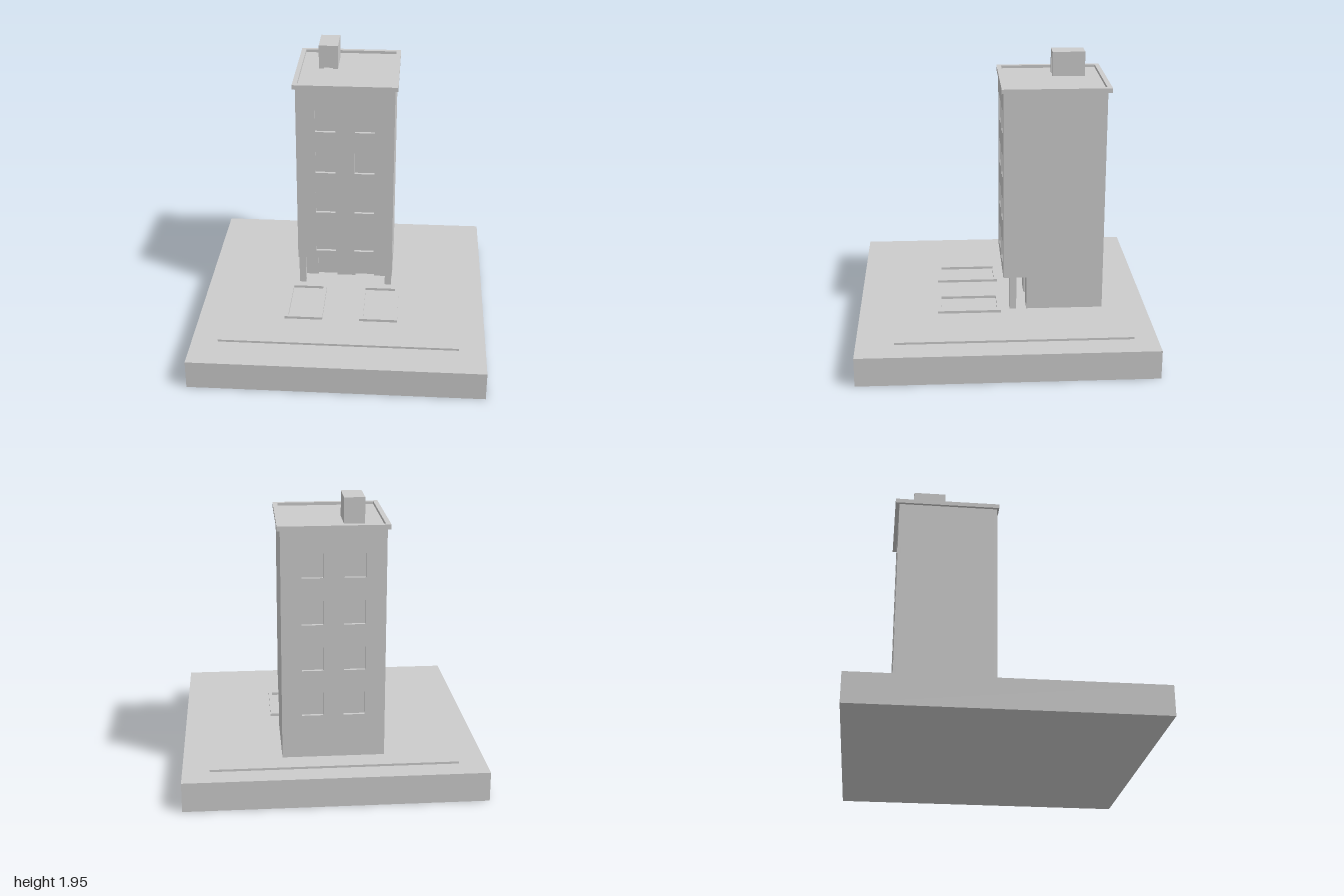
import * as THREE from 'three';

const material = new THREE.MeshStandardMaterial({ color: 0xcccccc, flatShading: true });

export function createModel() {
  const model = new THREE.Group();

  function add(name, geometry, parent = model) {
    const mesh = new THREE.Mesh(geometry, material);
    mesh.name = name;
    parent.add(mesh);
    return mesh;
  }

  // Box given by its limits on each axis
  function block(name, [x0, x1], [y0, y1], [z0, z1], parent) {
    const mesh = add(name, new THREE.BoxGeometry(x1 - x0, y1 - y0, z1 - z0), parent);
    mesh.position.set((x0 + x1) / 2, (y0 + y1) / 2, (z0 + z1) / 2);
    return mesh;
  }

  const trace = (path, [x0, x1], [y0, y1]) =>
    path.moveTo(x0, y0).lineTo(x1, y0).lineTo(x1, y1).lineTo(x0, y1).closePath();

  // Upright wall panel with rectangular openings, from z0 to z0 + depth
  function panel(name, xs, ys, z0, depth, holes, parent) {
    const shape = new THREE.Shape();
    trace(shape, xs, ys);
    for (const [hx, hy] of holes) {
      const hole = new THREE.Path();
      trace(hole, hx, hy);
      shape.holes.push(hole);
    }
    const mesh = add(name, new THREE.ExtrudeGeometry(shape, { depth, bevelEnabled: false }), parent);
    mesh.position.z = z0;
    return mesh;
  }

  // Flat rectangular rim lying on its back
  function rim(name, [x0, x1], [y0, y1], [z0, z1], inset, parent) {
    const mesh = panel(name, [x0, x1], [-z1, -z0], 0, y1 - y0,
      [[[x0 + inset, x1 - inset], [-z1 + inset, -z0 - inset]]], parent);
    mesh.rotation.x = -Math.PI / 2;
    mesh.position.y = y0;
  }

  // Ground
  block('base', [-1, 1], [0, 0.2], [-1, 1]);
  block('pavement', [-0.82, 0.82], [0.19, 0.215], [-0.845, 0.745]);

  // Two bordered beds in front of the entrance
  const beds = new THREE.Group();
  beds.name = 'gardenBeds';
  model.add(beds);
  for (const xs of [[-0.395, -0.13], [0.13, 0.395]])
    rim('bedBorder', xs, [0.21, 0.233], [0.02, 0.455], 0.025, beds);

  // Tower core, recessed on the ground floor
  const tower = new THREE.Group();
  tower.name = 'tower';
  model.add(tower);
  const wide = [-0.34, 0.34];
  const recess = 0.022;
  block('upperCore', wide, [0.45, 1.775], [-0.69 + recess, -recess], tower);
  block('groundCore', wide, [0.2, 0.45], [-0.69 + recess, -0.16 - recess], tower);

  // Four rows of recessed windows on the front and back
  const columns = [[-0.207, -0.067], [0.067, 0.207]];
  const windows = [];
  for (let row = 0; row < 4; row++)
    for (const xs of columns) windows.push([xs, [0.51 + row * 0.313, 0.67 + row * 0.313]]);
  panel('frontWall', wide, [0.45, 1.775], -recess, recess, windows, tower);
  panel('backWall', wide, [0.2, 1.775], -0.69, recess, windows, tower);

  // Entrance wall with two doorways, and corner pillars
  panel('entranceWall', wide, [0.2, 0.45], -0.16 - recess, recess,
    columns.map((xs) => [xs, [0.205, 0.42]]), tower);
  for (const xs of [[-0.337, -0.29], [0.29, 0.337]])
    block('pillar', xs, [0.21, 0.455], [-0.09, -0.043], tower);

  // Roof edge and stair house with a recessed door
  rim('roofEdge', [-0.36, 0.36], [1.765, 1.795], [-0.717, 0.013], 0.032, tower);
  const house = new THREE.Group();
  house.name = 'stairHouse';
  model.add(house);
  block('stairHouseCore', [-0.208, -0.073], [1.77, 1.945], [-0.585, -0.38], house);
  panel('stairHouseFront', [-0.208, -0.073], [1.765, 1.945], -0.38, 0.02,
    [[[-0.172, -0.11], [1.77, 1.897]]], house);

  return model;
}
